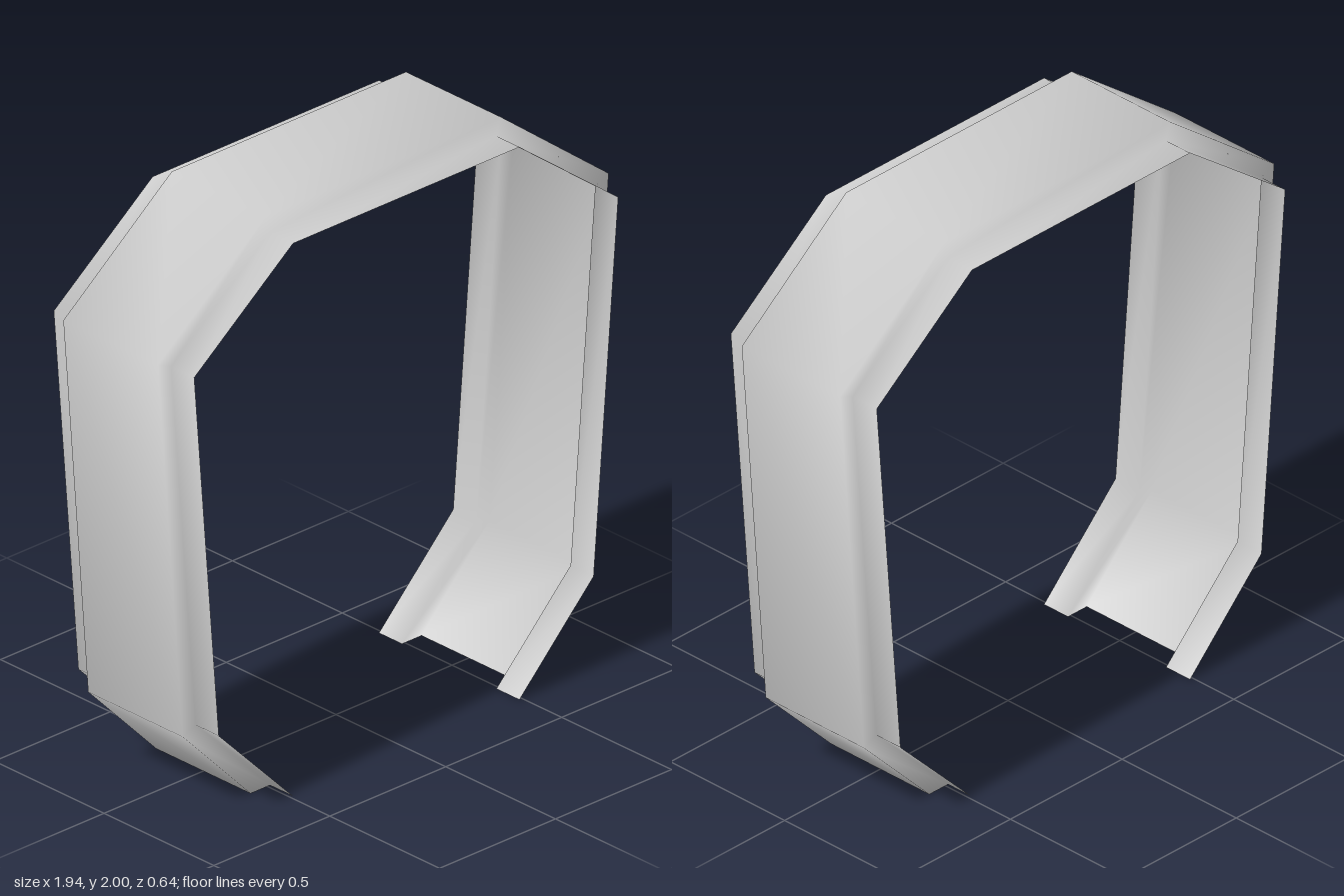
import * as THREE from 'three';

// Right half of the hoop, bottom to top; mirrored below
const OUTER = [[0.572, 0], [0.865, 0.3], [0.972, 1.64], [0.505, 2]];
const INNER = [[0.488, 0], [0.808, 0.322], [0.914, 1.615], [0.488, 1.938]];
const mirrorPath = (half) => [...half.map(([x, y]) => [-x, y]), ...[...half].reverse()];

// Hat-shaped cross-section: flange, wall, raised band, wall, flange
const FLANGE_Z = 0.32, BAND_Z = 0.215;
const SECTION = [
  [-FLANGE_Z, false], [-BAND_Z, false], [-BAND_Z, true],
  [BAND_Z, true], [BAND_Z, false], [FLANGE_Z, false],
];

export function createModel() {
  const group = new THREE.Group();
  group.name = 'openHoop';

  const outer = mirrorPath(OUTER), inner = mirrorPath(INNER);
  const positions = [], indices = [], n = SECTION.length;

  // Sweep the section along the hoop, from the left-hand end to the right-hand end
  outer.forEach((o, i) => {
    for (const [z, raised] of SECTION) positions.push(...(raised ? o : inner[i]), z);
    if (i === 0) return;
    for (let j = 0; j < n - 1; j++) {
      const a = (i - 1) * n + j, b = a + 1, c = a + n, d = c + 1;
      indices.push(a, b, c, b, d, c);
    }
  });

  const geometry = new THREE.BufferGeometry();
  geometry.setAttribute('position', new THREE.Float32BufferAttribute(positions, 3));
  geometry.setIndex(indices);
  geometry.computeVertexNormals(); // shared corners give the soft shading

  const material = new THREE.MeshStandardMaterial({ color: 0xcccccc, side: THREE.DoubleSide });
  const band = new THREE.Mesh(geometry, material);
  band.name = 'flangedBand';
  group.add(band);
  return group;
}
